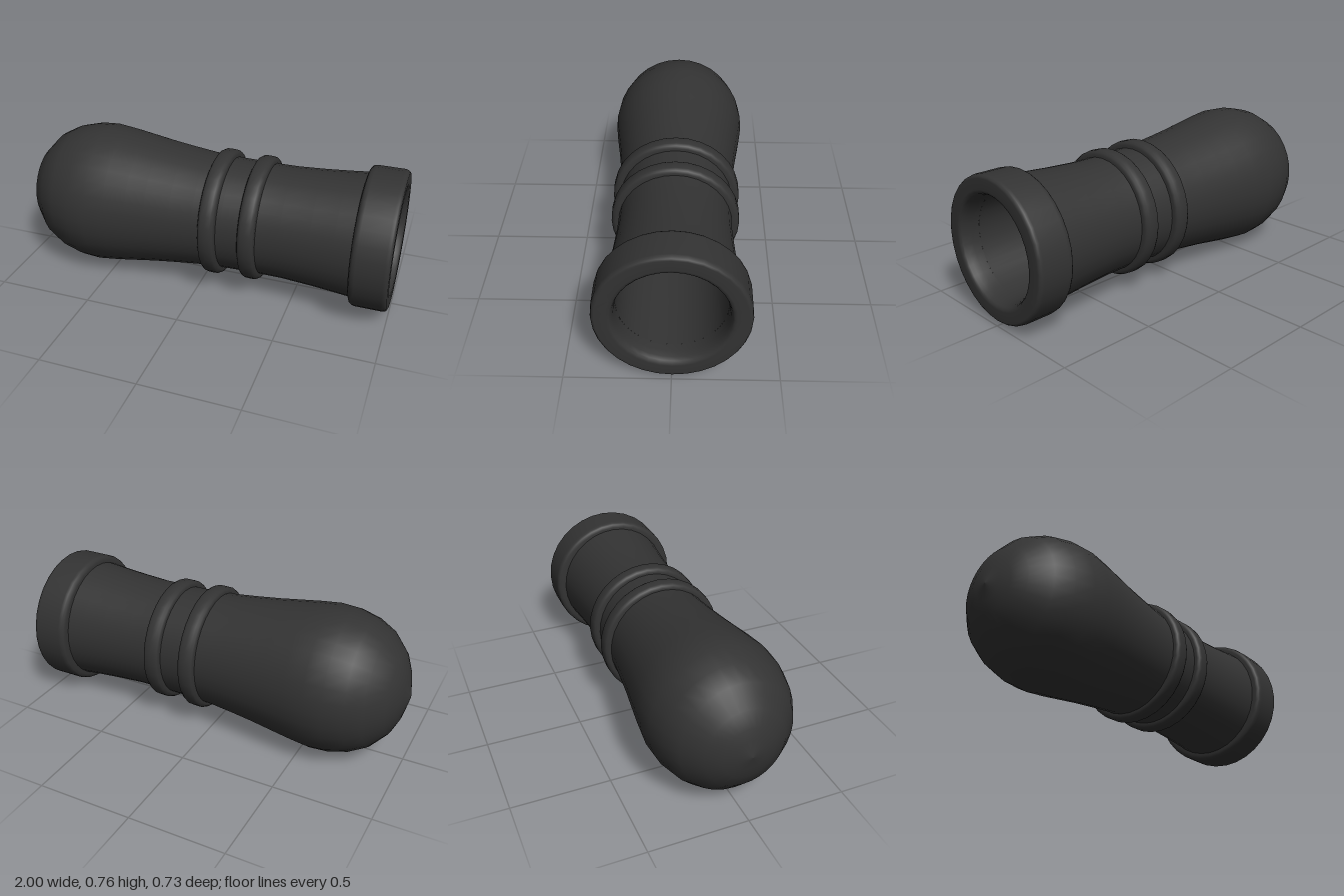
import * as THREE from 'three';

const SEGMENTS = 32;
const AXIS_Y = 0.379;

export function createModel() {
  const group = new THREE.Group();
  const material = new THREE.MeshStandardMaterial({ color: 0x333333, side: THREE.DoubleSide });

  // Turned part around the x axis; points are [x, radius], depth scales it along z
  function turned(name, points, depth) {
    const profile = points.map(([x, r]) => new THREE.Vector2(r, x));
    const geometry = new THREE.LatheGeometry(profile, SEGMENTS);
    geometry.rotateZ(-Math.PI / 2);
    geometry.scale(1, 1, depth);
    const mesh = new THREE.Mesh(geometry, material);
    mesh.name = name;
    mesh.position.set(0, AXIS_Y, -0.003);
    group.add(mesh);
  }

  // Bulbous outer body narrowing to a waist
  turned('outerBody', [
    [-1, 0], [-0.98, 0.08], [-0.965, 0.135], [-0.93, 0.21], [-0.85, 0.298],
    [-0.765, 0.345], [-0.665, 0.372], [-0.57, 0.378], [-0.465, 0.366],
    [-0.35, 0.349], [-0.25, 0.334], [-0.12, 0.318], [0, 0.305], [0.15, 0.297],
    [0.33, 0.294], [0.45, 0.295], [0.6, 0.304], [0.72, 0.314], [0.83, 0.325],
  ], 0.953 + 0.007);

  // Hollow interior, running from the mouth to a domed end
  turned('innerBore', [
    [0.9, 0.256], [0.6, 0.256], [0.3, 0.256], [0, 0.266], [-0.25, 0.295],
    [-0.45, 0.32], [-0.57, 0.333], [-0.68, 0.323], [-0.78, 0.29],
    [-0.86, 0.235], [-0.91, 0.165], [-0.94, 0.08], [-0.95, 0],
  ], 0.99);

  // Thick mouth rim with rounded edges
  turned('mouthRim', [
    [0.808, 0.31], [0.808, 0.335], [0.814, 0.35], [0.824, 0.357], [0.84, 0.36],
    [0.975, 0.36], [0.988, 0.357], [0.996, 0.351], [1, 0.342],
    [1, 0.29], [0.997, 0.277], [0.988, 0.269], [0.97, 0.262], [0.94, 0.257], [0.9, 0.256],
  ], 0.992);

  // Two raised bands around the waist
  [['wideBand', 0.083, 0.333], ['narrowBand', 0.288, 0.327]].forEach(([name, x, r]) => {
    turned(name, [
      [x - 0.044, 0.285], [x - 0.044, r - 0.022], [x - 0.038, r - 0.009], [x - 0.025, r - 0.001],
      [x, r], [x + 0.025, r - 0.001], [x + 0.038, r - 0.009], [x + 0.044, r - 0.022], [x + 0.044, 0.285],
    ], 0.98);
  });

  return group;
}
